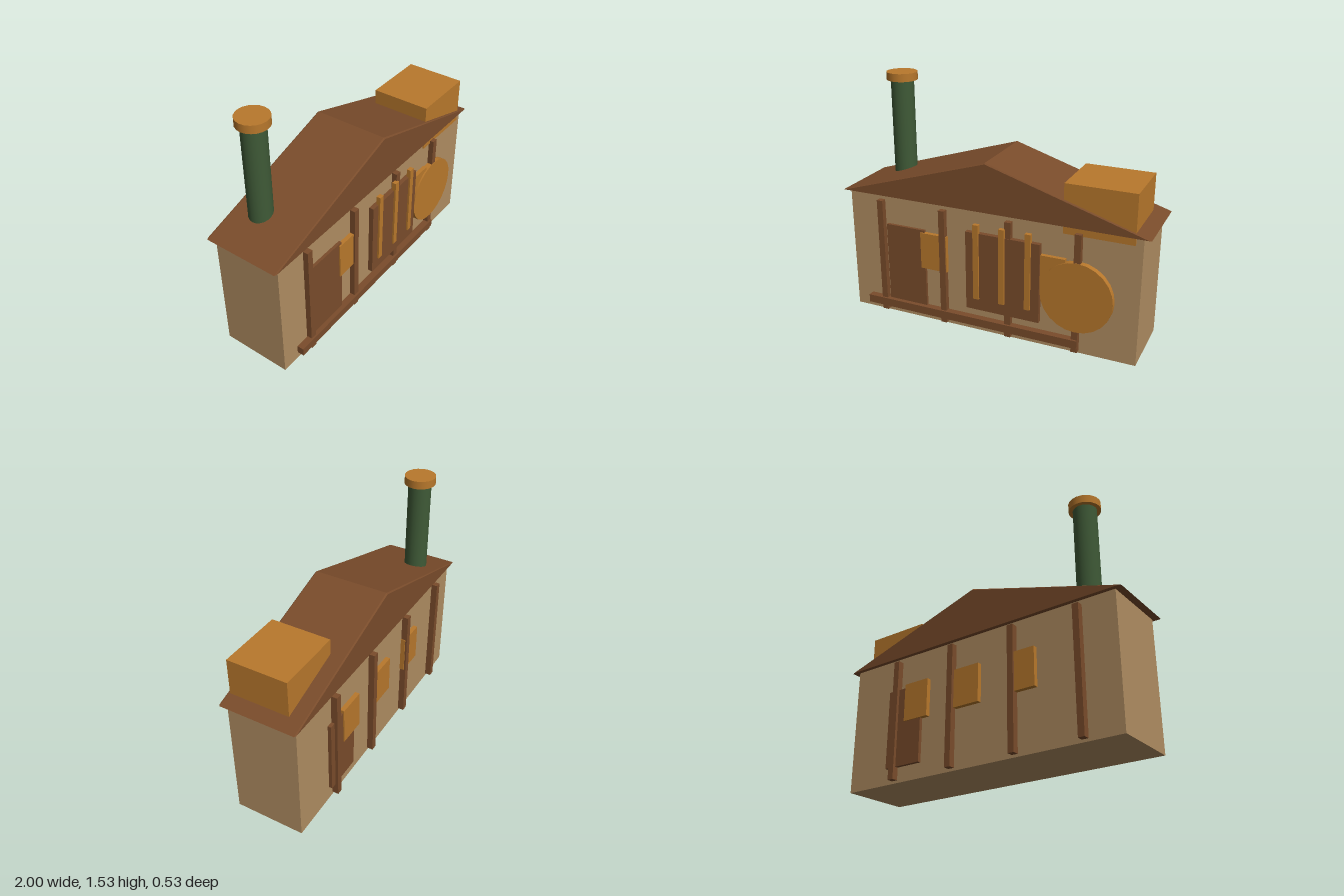
import * as THREE from 'three';

const material = (name, color) => {
  const m = new THREE.MeshStandardMaterial({ color });
  m.name = name;
  return m;
};

export function createModel() {
  const group = new THREE.Group();
  const tan = material('tanWall', 0xb08d62);
  const brown = material('brownTimber', 0x7a4c2b);
  const orange = material('orangeWood', 0xb8782c);
  const green = material('greenMetal', 0x3f5a37);

  const add = (name, geometry, mat) => {
    const mesh = new THREE.Mesh(geometry, mat);
    mesh.name = name;
    group.add(mesh);
    return mesh;
  };
  // Box given by its minimum and maximum on each axis
  const block = (name, mat, x0, x1, y0, y1, z0, z1) =>
    add(name, new THREE.BoxGeometry(x1 - x0, y1 - y0, z1 - z0), mat)
      .position.set((x0 + x1) / 2, (y0 + y1) / 2, (z0 + z1) / 2);

  // Walls
  block('walls', tan, -0.955, 0.955, 0, 0.82, -0.227, 0.217);

  // Gabled roof with slightly chamfered gable edges
  const gable = new THREE.Shape([
    new THREE.Vector2(-1, 0.812),
    new THREE.Vector2(1, 0.812),
    new THREE.Vector2(0, 1.125),
  ]);
  const roof = new THREE.ExtrudeGeometry(gable, {
    depth: 0.476, bevelEnabled: true, bevelSegments: 1,
    bevelSize: 0.008, bevelThickness: 0.008, bevelOffset: -0.008,
  });
  add('roof', roof, brown).position.z = -0.244;

  // Roof box
  block('roofBox', orange, 0.485, 0.91, 0.765, 1.07, -0.157, 0.226);

  // Chimney pipe and cap
  add('chimney', new THREE.CylinderGeometry(0.073, 0.073, 0.69, 20), green)
    .position.set(-0.725, 1.145, -0.09);
  add('chimneyCap', new THREE.CylinderGeometry(0.098, 0.098, 0.05, 20), orange)
    .position.set(-0.725, 1.51, -0.09);

  // Timber posts along the front and back
  for (const x of [-0.725, -0.29, 0.15, 0.585]) {
    block('frontPost', brown, x - 0.02, x + 0.02, 0.017, 0.783, 0.2, 0.252);
    block('backPost', brown, x - 0.02, x + 0.02, 0.017, 0.783, -0.267, -0.21);
  }

  // Windows along the front and back
  for (const x of [-0.355, 0.033, 0.42]) {
    block('frontWindow', orange, x - 0.09, x + 0.09, 0.37, 0.61, 0.2, 0.244);
    block('backWindow', orange, x - 0.09, x + 0.09, 0.37, 0.61, -0.256, -0.21);
  }

  // Doors
  block('frontDoor', brown, -0.69, -0.42, 0.1, 0.625, 0.2, 0.236);
  block('backDoor', brown, 0.385, 0.645, 0.095, 0.59, -0.249, -0.21);

  // Shutter panel with three upright slats
  block('shutterPanel', brown, -0.125, 0.357, 0.165, 0.68, 0.225, 0.256);
  for (const x of [-0.053, 0.117, 0.285]) {
    block('shutterSlat', orange, x - 0.018, x + 0.018, 0.243, 0.737, 0.24, 0.268);
  }

  // Round disc leaning flat on the wall
  const disc = add('roundDisc', new THREE.CylinderGeometry(0.225, 0.225, 0.04, 24), orange);
  disc.rotation.x = Math.PI / 2;
  disc.position.set(0.585, 0.38, 0.234);

  // Low rail across the front
  block('frontRail', brown, -0.84, 0.603, 0.05, 0.103, 0.22, 0.264);

  return group;
}
